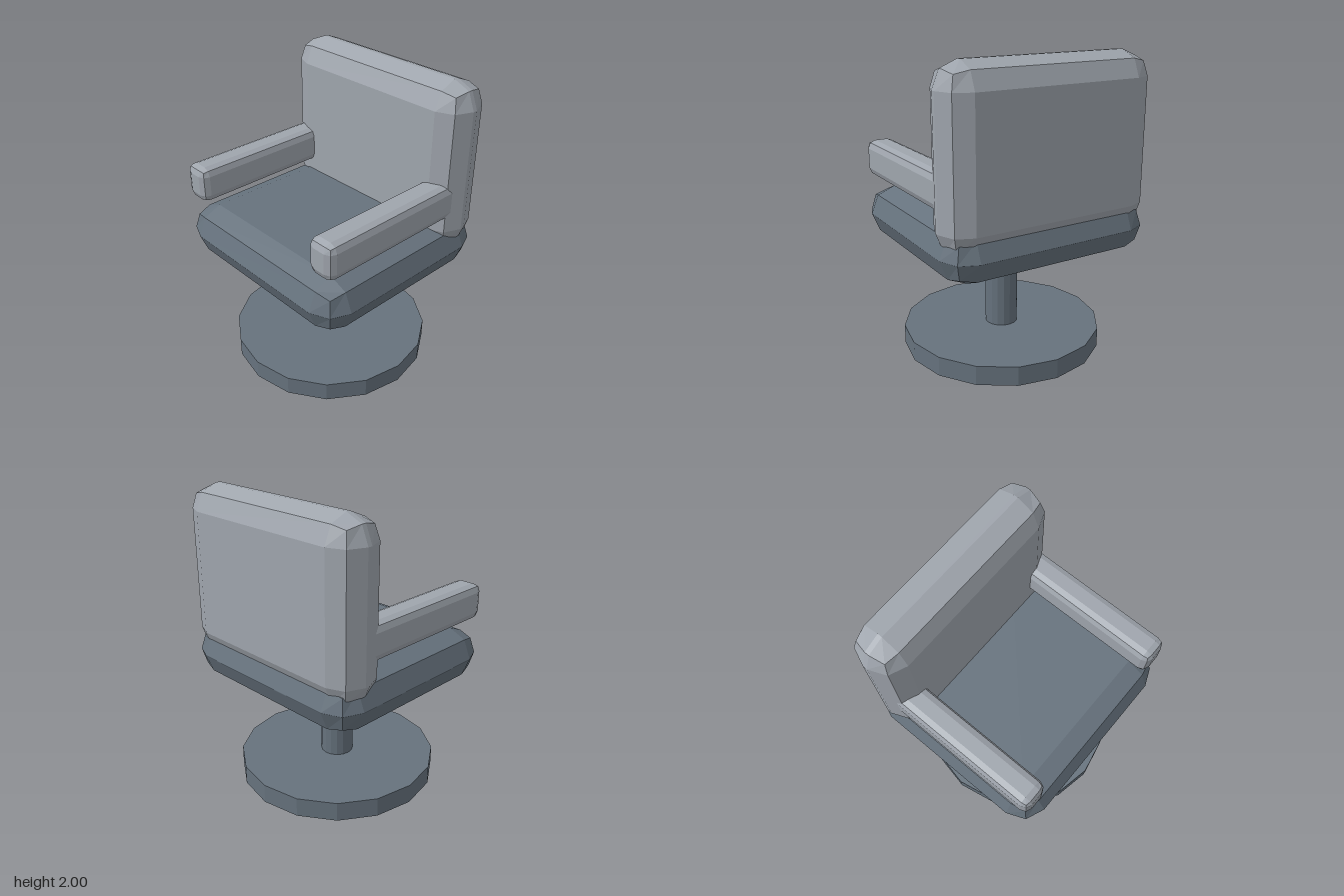
import * as THREE from 'three';

const darkGrey = new THREE.MeshStandardMaterial({ color: 0x66727d, flatShading: true });
const lightGrey = new THREE.MeshStandardMaterial({ color: 0x9fa5ad, flatShading: true });

// Box with two-step rounded edges, given by its min and max corners
function cushion(name, min, max, radius, material) {
  const lo = new THREE.Vector3(...min);
  const hi = new THREE.Vector3(...max);
  const half = hi.clone().sub(lo).multiplyScalar(0.5);
  const geometry = new THREE.BoxGeometry(2, 2, 2, 3, 3, 3);
  const p = geometry.attributes.position;
  const dir = new THREE.Vector3();
  const v = new THREE.Vector3();
  for (let i = 0; i < p.count; i++) {
    v.fromBufferAttribute(p, i);
    // Outer grid lines point outwards; inner ones mark the flat part
    dir.set(...v.toArray().map((c) => (Math.abs(c) > 0.9 ? Math.sign(c) : 0)));
    dir.normalize().multiplyScalar(radius);
    v.set(...v.toArray().map((c, k) => Math.sign(c) * (half.getComponent(k) - radius)));
    v.add(dir);
    p.setXYZ(i, v.x, v.y, v.z);
  }
  geometry.computeVertexNormals();
  const mesh = new THREE.Mesh(geometry, material);
  mesh.name = name;
  mesh.position.copy(lo).add(hi).multiplyScalar(0.5);
  return mesh;
}

// Upright sixteen-sided cylinder between two heights
function post(name, radius, y0, y1) {
  const mesh = new THREE.Mesh(new THREE.CylinderGeometry(radius, radius, y1 - y0, 16), darkGrey);
  mesh.name = name;
  mesh.position.y = (y0 + y1) / 2;
  return mesh;
}

export function createModel() {
  const chair = new THREE.Group();
  chair.name = 'swivelChair';

  // Pedestal
  chair.add(post('baseDisc', 0.672, 0, 0.13));
  chair.add(post('column', 0.11, 0.12, 0.75));

  // Upholstery
  chair.add(cushion('seat', [-0.72, 0.71, -0.677], [0.72, 1.06, 0.677], 0.174, darkGrey));
  chair.add(cushion('backrest', [-0.72, 0.88, -0.653], [0.72, 2, -0.305], 0.159, lightGrey));

  // Armrests, running through the backrest
  for (const [name, x] of [['leftArmrest', 0.592], ['rightArmrest', -0.592]]) {
    chair.add(cushion(name, [x - 0.095, 1.132, -0.622], [x + 0.095, 1.37, 0.64], 0.052, lightGrey));
  }
  return chair;
}
